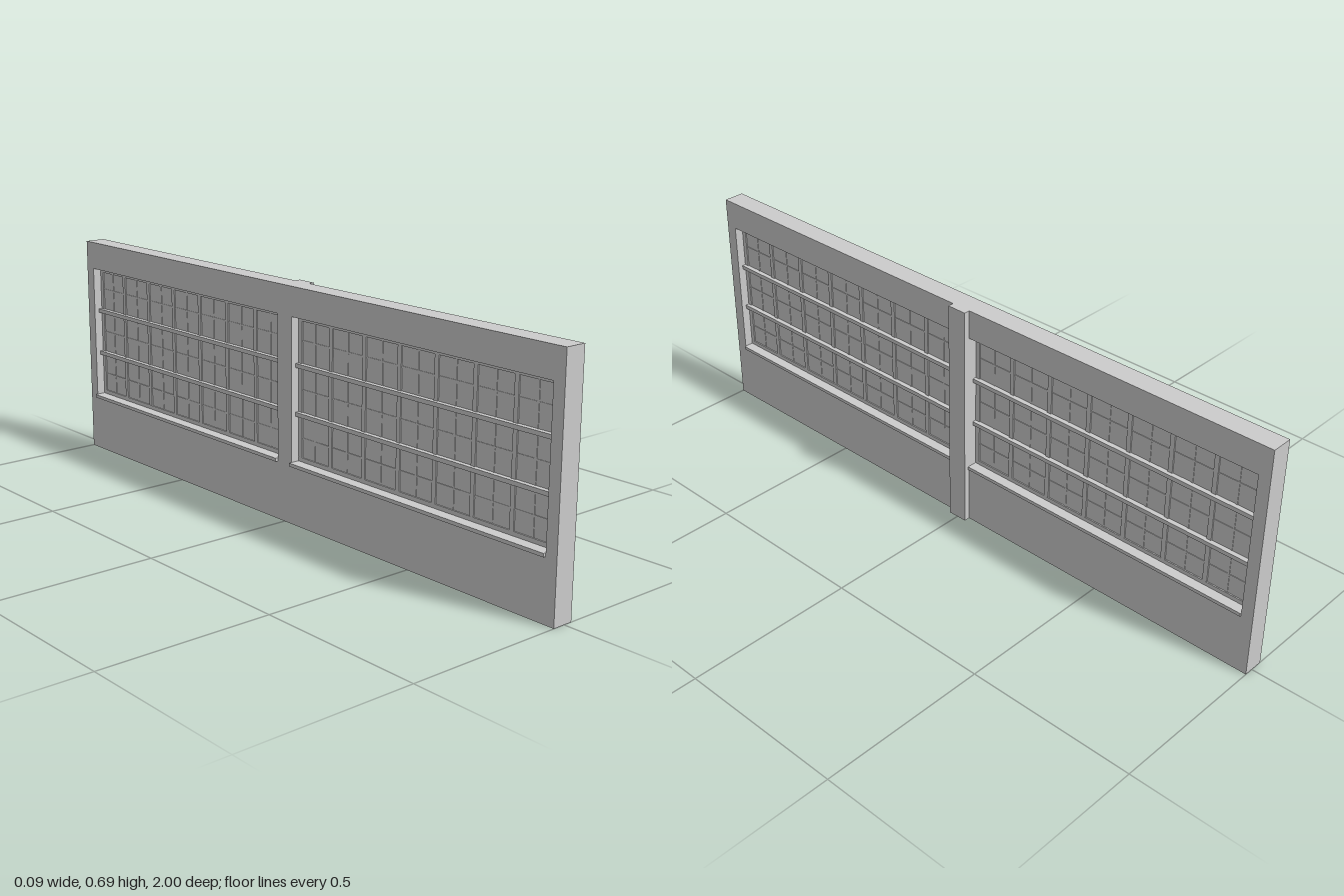
import * as THREE from 'three';

const HEIGHT = 0.685, BACK = -0.037, FRONT = 0.026;
const MID = (BACK + FRONT) / 2;
// Window opening, measured along the wall and up
const Z0 = 0.03, Z1 = 0.965, Y0 = 0.18, Y1 = 0.6;
const COLS = 7, ROWS = 3;

const material = new THREE.MeshStandardMaterial({ color: 0xcccccc });

function addBox(parent, name, [w, h, d], [x, y, z]) {
  const mesh = new THREE.Mesh(new THREE.BoxGeometry(w, h, d), material);
  mesh.name = name;
  mesh.position.set(x, y, z);
  parent.add(mesh);
  return mesh;
}

function rectangle(PathType, x0, y0, x1, y1) {
  const path = new PathType();
  path.moveTo(x0, y0).lineTo(x1, y0).lineTo(x1, y1).lineTo(x0, y1).closePath();
  return path;
}

// Solid slab with two window openings
function createWall() {
  const shape = rectangle(THREE.Shape, -1, 0, 1, HEIGHT);
  shape.holes.push(rectangle(THREE.Path, Z0, Y0, Z1, Y1));
  shape.holes.push(rectangle(THREE.Path, -Z1, Y0, -Z0, Y1));
  const geometry = new THREE.ExtrudeGeometry(shape, { depth: FRONT - BACK, bevelEnabled: false });
  geometry.rotateY(Math.PI / 2).translate(BACK, 0, 0);
  const wall = new THREE.Mesh(geometry, material);
  wall.name = 'wall';
  return wall;
}

// Glazed window: pane sheet, bars, thin cross muntins and projecting transoms
function createWindow(side) {
  const group = new THREE.Group();
  group.name = side > 0 ? 'frontWindow' : 'backWindow';
  const width = Z1 - Z0, height = Y1 - Y0;
  const zc = side * (Z0 + Z1) / 2, yc = (Y0 + Y1) / 2;
  const zStart = zc - width / 2;
  const pitchZ = width / COLS, pitchY = height / ROWS;

  addBox(group, 'glass', [0.003, height, width], [MID, yc, zc]);

  // Main vertical bars, and a thin muntin halfway across each column
  for (let i = 0; i <= COLS; i++) {
    const inset = i === 0 ? 0.007 : i === COLS ? -0.007 : 0;
    addBox(group, 'mullion', [0.01, height, 0.014], [MID, yc, zStart + i * pitchZ + inset]);
    if (i < COLS) addBox(group, 'verticalMuntin', [0.006, height, 0.005], [MID, yc, zStart + (i + 0.5) * pitchZ]);
  }

  // Horizontal bars: plain at top and bottom, deep between the rows
  for (let j = 0; j <= ROWS; j++) {
    const y = Y0 + j * pitchY;
    if (j === 0 || j === ROWS) {
      addBox(group, 'rail', [0.0102, 0.014, width], [MID, y + (j ? -0.007 : 0.007), zc]);
    } else {
      addBox(group, 'transom', [0.032, 0.012, width], [MID, y, zc]);
    }
    if (j < ROWS) addBox(group, 'horizontalMuntin', [0.0062, 0.005, width], [MID, y + pitchY / 2, zc]);
  }

  // Sill running through the wall and projecting on both faces
  addBox(group, 'sill', [0.075, 0.01, width], [-0.0075, 0.177, zc]);
  return group;
}

export function createModel() {
  const model = new THREE.Group();
  model.name = 'windowWall';
  model.add(createWall(), createWindow(1), createWindow(-1));
  // Central pilaster standing proud of one face
  addBox(model, 'pilaster', [0.028, HEIGHT, 0.06], [0.03, HEIGHT / 2, 0]);
  return model;
}
